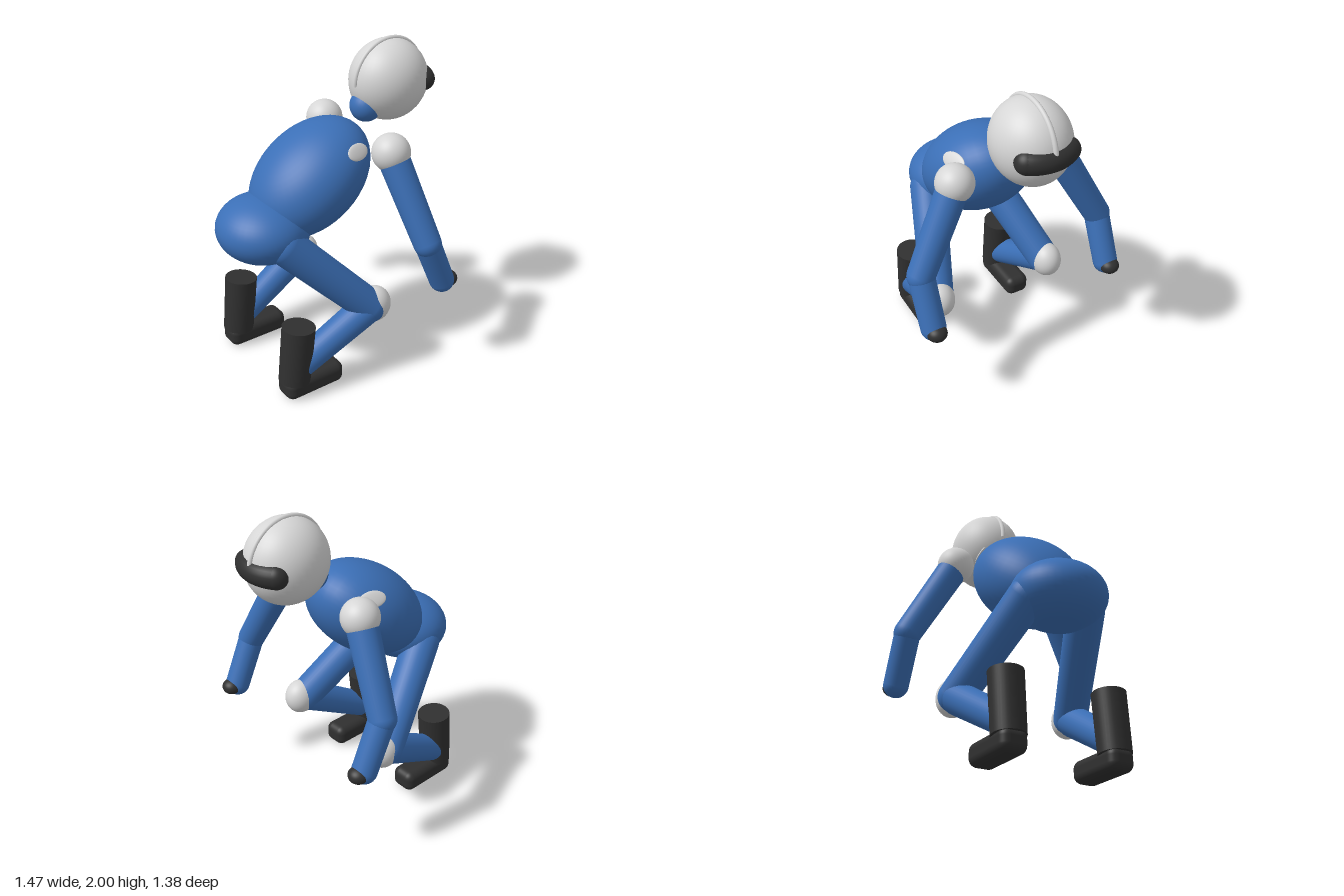
import * as THREE from 'three';
import { RoundedBoxGeometry } from 'three/addons/geometries/RoundedBoxGeometry.js';

const V = (x, y, z) => new THREE.Vector3(x, y, z);

export function createModel() {
  const model = new THREE.Group();
  model.name = 'crouchingFigure';

  const material = (name, color) => {
    const m = new THREE.MeshStandardMaterial({ color });
    m.name = name;
    return m;
  };
  const blue = material('suitBlue', 0x3b6fb6);
  const white = material('padWhite', 0xd6d6d6);
  const dark = material('bootBlack', 0x303030);

  const add = (name, geometry, mat, parent = model) => {
    const mesh = new THREE.Mesh(geometry, mat);
    mesh.name = name;
    parent.add(mesh);
    return mesh;
  };

  const ellipsoid = (name, center, radii, mat, parent) => {
    const mesh = add(name, new THREE.SphereGeometry(1, 40, 28), mat, parent);
    mesh.position.copy(center);
    mesh.scale.copy(radii);
    return mesh;
  };

  // Stand a y-aligned geometry between two points
  const between = (mesh, a, b) => {
    const dir = b.clone().sub(a);
    mesh.position.copy(a).addScaledVector(dir, 0.5);
    mesh.quaternion.setFromUnitVectors(V(0, 1, 0), dir.normalize());
    return mesh;
  };

  // Tapered limb with round ends centred on a and b
  const limb = (name, a, b, ra, rb, mat, parent) => {
    const half = a.distanceTo(b) / 2;
    const points = [];
    for (let i = 0; i <= 10; i++) {
      const t = (i / 10) * Math.PI / 2;
      points.push(new THREE.Vector2(ra * Math.sin(t), -half - ra * Math.cos(t)));
    }
    for (let i = 0; i <= 10; i++) {
      const t = (i / 10) * Math.PI / 2;
      points.push(new THREE.Vector2(rb * Math.cos(t), half + rb * Math.sin(t)));
    }
    return between(add(name, new THREE.LatheGeometry(points, 32), mat, parent), a, b);
  };

  // Body, leaning forward along +x
  ellipsoid('hips', V(-0.457, 1.0, 0), V(0.28, 0.2, 0.29), blue);
  ellipsoid('torso', V(-0.125, 1.24, 0), V(0.424, 0.274, 0.334), blue).rotation.z = 0.637;
  limb('neck', V(0.29, 1.6, 0), V(0.38, 1.7, 0), 0.1, 0.1, blue);

  // Helmet with a ridge from front to back
  const helmet = new THREE.Group();
  helmet.name = 'helmet';
  helmet.position.set(0.455, 1.735, 0);
  model.add(helmet);
  ellipsoid('helmetShell', V(0, 0, 0), V(0.25, 0.25, 0.225), white, helmet);
  add('helmetRidge', new THREE.TorusGeometry(0.25, 0.015, 12, 48, Math.PI), white, helmet);

  // Visor wrapped around the front of the helmet
  const arc = [];
  const sweep = 0.64;
  for (let i = -4; i <= 4; i++) {
    const a = (i / 4) * sweep;
    arc.push(V(0.21 * Math.cos(a), 0, 0.21 * Math.sin(a)));
  }
  add('visor', new THREE.TubeGeometry(new THREE.CatmullRomCurve3(arc), 32, 0.07, 24), dark, helmet);
  for (const end of [arc[0], arc[8]]) {
    ellipsoid('visorEnd', end, V(0.07, 0.07, 0.07), dark, helmet);
  }

  for (const s of [1, -1]) {
    // Chest patch lying on the torso surface
    const normal = V(0.23, 0.55, 0.8 * s);
    const patch = ellipsoid('chestPatch', V(0.045, 1.445, 0.25 * s), V(0.085, 0.05, 0.012), white);
    patch.lookAt(patch.position.clone().add(normal));

    // Arm
    const arm = new THREE.Group();
    arm.name = 'arm';
    model.add(arm);
    const shoulder = V(0.22, 1.43, 0.336 * s);
    const elbow = V(0.297, 0.925, 0.607 * s);
    const wrist = V(0.43, 0.63, 0.607 * s);
    ellipsoid('shoulderPad', shoulder, V(0.115, 0.115, 0.115), white, arm);
    limb('upperArm', shoulder, elbow, 0.095, 0.084, blue, arm);
    limb('forearm', elbow, wrist, 0.079, 0.077, blue, arm);
    ellipsoid('hand', V(0.476, 0.625, 0.607 * s), V(0.062, 0.05, 0.062), dark, arm);

    // Leg
    const leg = new THREE.Group();
    leg.name = 'leg';
    model.add(leg);
    const hip = V(-0.43, 0.955, 0.2 * s);
    const knee = V(0.045, 0.47, 0.393 * s);
    const ankle = V(-0.472, 0.18, 0.338 * s);
    limb('thigh', hip, knee, 0.114, 0.104, blue, leg);
    limb('shin', knee, ankle, 0.1, 0.085, blue, leg);
    ellipsoid('kneePad', V(0.078, 0.475, 0.395 * s), V(0.108, 0.115, 0.097), white, leg);

    // Boot
    const shaft = add('bootShaft', new THREE.CylinderGeometry(0.102, 0.098, 0.37, 36), dark, leg);
    between(shaft, V(-0.472, 0.11, 0.336 * s), V(-0.437, 0.472, 0.336 * s));
    const foot = add('foot', new RoundedBoxGeometry(0.405, 0.138, 0.165, 6, 0.05), dark, leg);
    foot.position.set(-0.353, 0.069, 0.336 * s);
  }

  return model;
}
